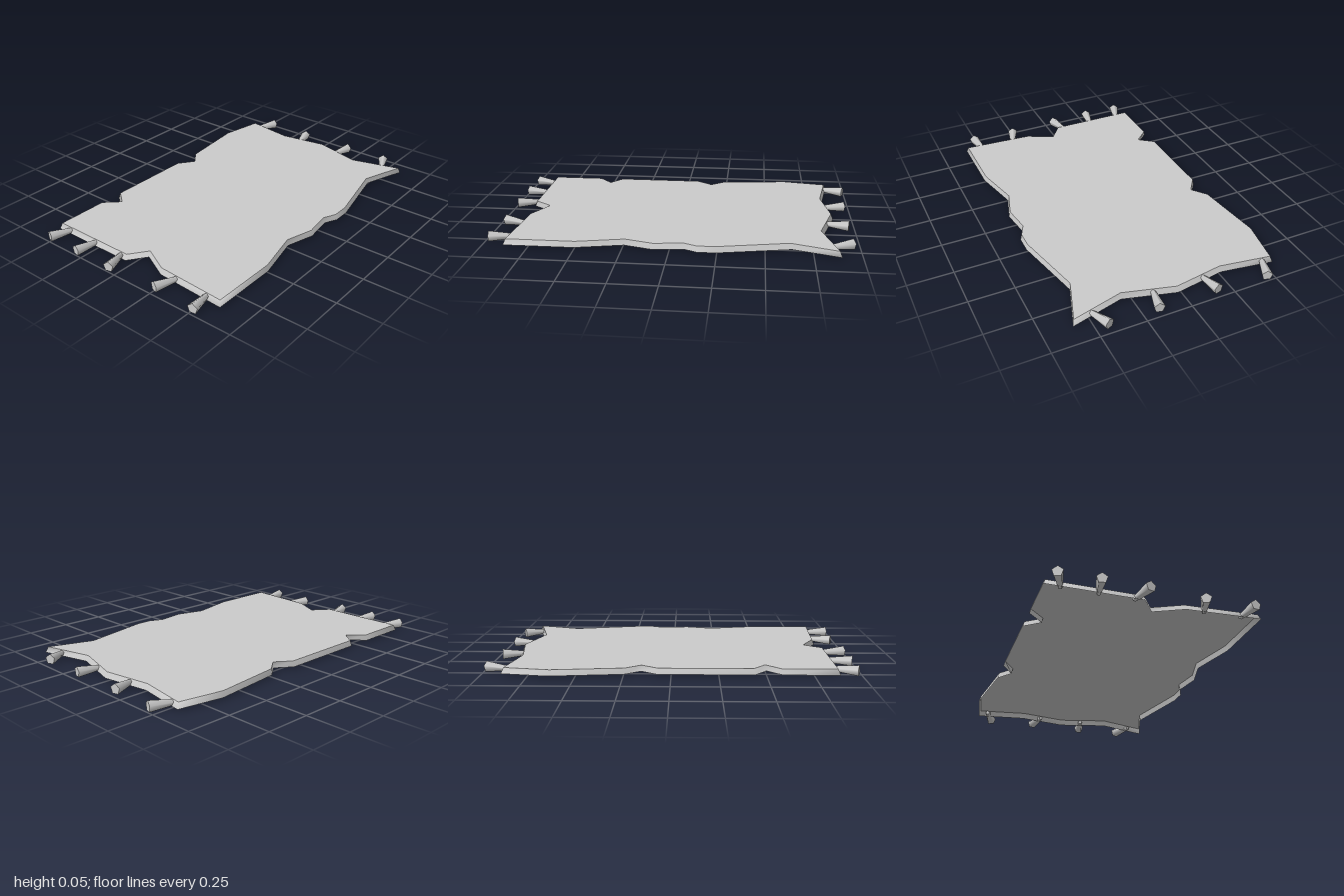
import * as THREE from 'three';

const sheetMaterial = new THREE.MeshStandardMaterial({ color: 0xcccccc, side: THREE.DoubleSide });
const tasselMaterial = new THREE.MeshStandardMaterial({ color: 0xcccccc });

const BOTTOM = 0.016, TOP = 0.048, INSET = 0.985;

// Ragged lower rim as [x, z]
const outline = [
  [-0.55, -0.892], [-0.26, -0.847], [0.02, -0.892], [0.305, -0.815], [0.595, -0.892],
  [0.508, -0.64], [0.595, -0.245], [0.595, -0.148], [0.56, -0.075], [0.582, 0.083],
  [0.535, 0.243], [0.595, 0.503], [0.595, 0.883], [0.19, 0.86], [0.034, 0.783],
  [-0.04, 0.883], [-0.55, 0.883], [-0.55, 0.584], [-0.465, 0.505], [-0.55, 0.438],
  [-0.55, -0.07], [-0.484, -0.16], [-0.55, -0.245], [-0.595, -0.64],
];
const topOutline = outline.map(([x, z]) => [x * INSET, z * INSET]);

// Flat upper face
function createTop() {
  const shape = new THREE.Shape(topOutline.map(([x, z]) => new THREE.Vector2(x, -z)));
  const geometry = new THREE.ShapeGeometry(shape);
  geometry.rotateX(-Math.PI / 2).translate(0, TOP, 0);
  const top = new THREE.Mesh(geometry, sheetMaterial);
  top.name = 'rugTop';
  return top;
}

// Smooth-shaded wall around the open underside
function createEdge() {
  const positions = [], indices = [], n = outline.length;
  for (let i = 0; i < n; i++) {
    const [x, z] = outline[i], [tx, tz] = topOutline[i];
    positions.push(x, BOTTOM, z, tx, TOP, tz);
    const a = 2 * i, b = 2 * ((i + 1) % n);
    indices.push(a, a + 1, b, b, a + 1, b + 1);
  }
  const geometry = new THREE.BufferGeometry();
  geometry.setAttribute('position', new THREE.Float32BufferAttribute(positions, 3));
  geometry.setIndex(indices);
  geometry.computeVertexNormals();
  const edge = new THREE.Mesh(geometry, sheetMaterial);
  edge.name = 'rugEdge';
  return edge;
}

// Five-sided tassel widening outwards, one corner pointing up
function createTassel(x0, z0, x1, z1) {
  const length = Math.hypot(x1 - x0, z1 - z0);
  const geometry = new THREE.CylinderGeometry(0.03, 0.013, length, 5, 1, false, Math.PI);
  geometry.rotateX(Math.PI / 2);
  const tassel = new THREE.Mesh(geometry, tasselMaterial);
  tassel.position.set((x0 + x1) / 2, 0.031, (z0 + z1) / 2);
  tassel.rotation.y = Math.atan2(x1 - x0, z1 - z0);
  return tassel;
}

// Inner and outer end of each tassel: x, z, x, z
const backTassels = [
  [-0.501, -0.85, -0.451, -0.988], [-0.138, -0.84, -0.17, -0.969],
  [0.139, -0.835, 0.166, -0.967], [0.489, -0.84, 0.433, -0.962],
];
const frontTassels = [
  [-0.46, 0.85, -0.51, 0.985], [-0.268, 0.85, -0.295, 0.992],
  [-0.084, 0.85, -0.049, 0.992], [0.298, 0.835, 0.249, 0.97], [0.496, 0.845, 0.513, 0.985],
];

export function createModel() {
  const model = new THREE.Group();
  model.name = 'tatteredRug';
  model.add(createTop(), createEdge());
  for (const [name, ends] of [['backTassel', backTassels], ['frontTassel', frontTassels]]) {
    ends.forEach((end, i) => {
      const tassel = createTassel(...end);
      tassel.name = name + (i + 1);
      model.add(tassel);
    });
  }
  return model;
}
